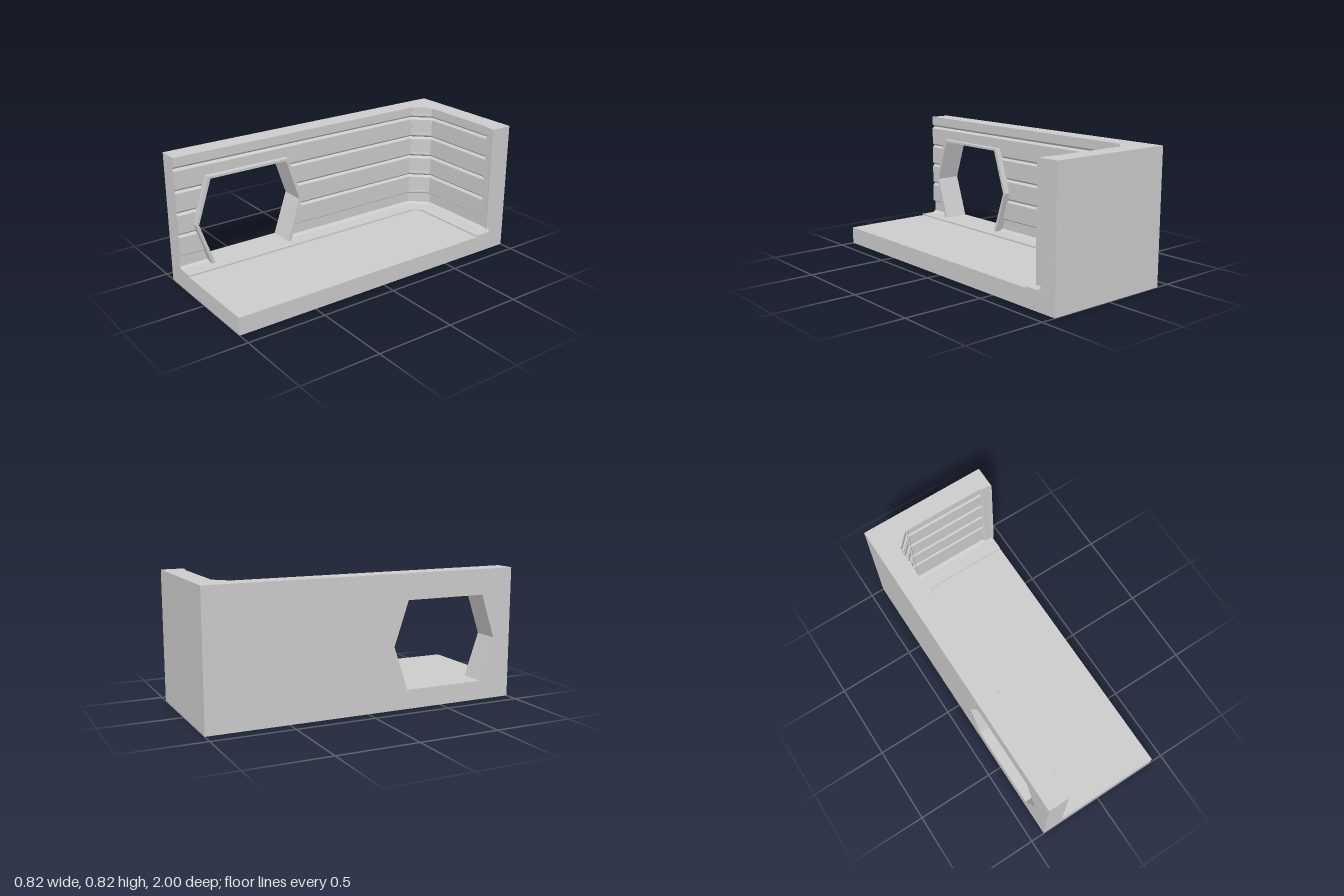
import * as THREE from 'three';

const mat = new THREE.MeshStandardMaterial({ color: 0xcccccc, flatShading: true, side: THREE.DoubleSide });
const W = 0.41, H = 0.825, FLOOR = 0.11;

// Plan of the inner wall face (x, z): side wall, chamfered corner, back wall
const path = [[-0.28, 1], [-0.28, -0.77], [-0.18, -0.873], [W, -0.873]];
const chamferLength = Math.hypot(0.1, 0.103);
const chamferAngle = Math.atan2(0.103, 0.1);
const normals = [[1, 0], [Math.sin(chamferAngle), Math.cos(chamferAngle)], [0, 1]];

// Point on the path at station s, moved d into the room with mitred corners
function plan(s, d) {
  const a = normals[Math.max(s - 1, 0)], b = normals[Math.min(s, 2)];
  const k = d / (1 + a[0] * b[0] + a[1] * b[1]);
  return [path[s][0] + (a[0] + b[0]) * k, path[s][1] + (a[1] + b[1]) * k];
}

// Wall section from top to floor as [offset, y], with V grooves and a cove
const grooves = [0.755, 0.617, 0.478, 0.338], g = 0.0135;
const profile = [[0, H]];
for (const y of grooves) {
  profile.push([0, y + g], [-0.015, y], [0, y - g]);
  if (y === 0.755) profile.push([0, 0.672]);
  if (y === 0.478) profile.push([0, 0.39]);
}
profile.push([0, 0.21], [-0.015, 0.2], [-0.015, 0.135], [0.005, 0.12], [0.1, 0.12], [0.1, FLOOR]);

// Six-sided window in the (z, y) plane
const windowZ = 0.527;
const hexagon = (half, mid, bottom, top) => [
  [windowZ - half, bottom], [windowZ + half, bottom], [windowZ + mid, 0.39],
  [windowZ + half, top], [windowZ - half, top], [windowZ - mid, 0.39],
].map(([z, y]) => new THREE.Vector2(z, y));
const windowHalf = (y) => 0.365 - 0.095 * (y > 0.39 ? (y - 0.39) / 0.282 : (0.39 - y) / 0.275);

const shapeOf = (pts) => new THREE.Shape(pts.map(([x, y]) => new THREE.Vector2(x, y)));

function add(group, name, geometry) {
  const mesh = new THREE.Mesh(geometry, mat);
  mesh.name = name;
  group.add(mesh);
  return mesh;
}

// Grooved wall lining swept along the plan, left open at the window
function liningGeometry() {
  const pos = [];
  const quad = (a, b, c, d) => pos.push(...a, ...b, ...c, ...a, ...c, ...d);
  const at = (s, [d, y]) => { const [x, z] = plan(s, d); return [x, y, z]; };
  for (let i = 0; i < profile.length - 1; i++) {
    const p = profile[i], q = profile[i + 1];
    for (let s = 0; s < 3; s++) {
      const flat = p[0] === 0 && q[0] === 0;
      if (s === 1 && flat) continue; // filled by the corner panels
      const a = at(s, p), b = at(s, q), c = at(s + 1, q), d = at(s + 1, p);
      if (s === 0 && p[1] <= 0.6721 && p[1] > 0.121) {
        const edge = (v, side) => [v[0], v[1], windowZ + side * windowHalf(v[1])];
        quad(a, b, edge(b, 1), edge(a, 1));
        quad(edge(a, -1), edge(b, -1), c, d);
      } else quad(a, b, c, d);
    }
  }
  const geo = new THREE.BufferGeometry();
  geo.setAttribute('position', new THREE.Float32BufferAttribute(pos, 3));
  geo.computeVertexNormals();
  return geo;
}

// Recessed panel with a border, on the chamfer between two heights
function cornerPanel(y0, y1) {
  const panel = new THREE.Group();
  panel.name = 'cornerPanel';
  const L = chamferLength, m = 0.011, depth = 0.012;
  let border;
  if (y1 === H) {
    border = shapeOf([[0, y0], [L, y0], [L, y1], [L - m, y1], [L - m, y0 + m], [m, y0 + m], [m, y1], [0, y1]]);
  } else {
    border = shapeOf([[0, y0], [L, y0], [L, y1], [0, y1]]);
    border.holes.push(shapeOf([[m, y0 + m], [m, y1 - m], [L - m, y1 - m], [L - m, y0 + m]]));
  }
  add(panel, 'panelBorder', new THREE.ExtrudeGeometry(border, { depth, bevelEnabled: false })).position.z = -depth;
  add(panel, 'panelBack', new THREE.PlaneGeometry(L - 2 * m, y1 - y0))
    .position.set(L / 2, (y0 + y1) / 2, -depth);
  panel.position.set(path[1][0], 0, path[1][1]);
  panel.rotation.y = chamferAngle;
  return panel;
}

export function createModel() {
  const model = new THREE.Group();
  model.name = 'roomCorner';

  add(model, 'wallLining', liningGeometry());

  // Corner panels between the grooves
  const tops = [H, ...grooves.map((y) => y - g)];
  const bottoms = [...grooves.map((y) => y + g), 0.21];
  tops.forEach((top, i) => model.add(cornerPanel(bottoms[i], top)));

  // Floor inside the raised border
  const floor = [0, 1, 2, 3].map((s) => plan(s, 0.1)).map(([x, z]) => [x, -z]);
  add(model, 'floor', new THREE.ShapeGeometry(shapeOf([...floor, [W, -1]])).rotateX(-Math.PI / 2))
    .position.y = FLOOR;

  // Top of the walls, notched at the open upper panel
  const along = (t, d) => [
    path[1][0] + Math.cos(chamferAngle) * t + normals[1][0] * d,
    path[1][1] - Math.sin(chamferAngle) * t + normals[1][1] * d,
  ];
  const m = 0.011, n = chamferLength - m;
  const rim = [[-W, 1], [-W, -1], [W, -1], path[3], path[2],
    along(n, 0), along(n, -0.012), along(m, -0.012), along(m, 0), path[1], path[0]];
  add(model, 'wallTop', new THREE.ShapeGeometry(shapeOf(rim.map(([x, z]) => [x, -z]))).rotateX(-Math.PI / 2))
    .position.y = H;

  // Cut ends showing the wall and floor section
  const frontEnd = [[-W, 0], [W, 0], [W, FLOOR],
    ...[...profile].reverse().map(([d, y]) => [path[0][0] + d, y]), [-W, H]];
  add(model, 'frontEnd', new THREE.ShapeGeometry(shapeOf(frontEnd))).position.z = 1;
  const sideEnd = [[-1, 0], [1, 0], [1, H],
    ...profile.map(([d, y]) => [-(path[3][1] + d), y]), [-1, FLOOR]];
  add(model, 'sideEnd', new THREE.ShapeGeometry(shapeOf(sideEnd)).rotateY(Math.PI / 2)).position.x = W;

  // Outer faces
  const side = shapeOf([[-1, 0], [1, 0], [1, H], [-1, H]]);
  side.holes.push(new THREE.Path(hexagon(0.262, 0.355, 0.119, 0.665)));
  add(model, 'outerSideWall', new THREE.ShapeGeometry(side).rotateY(-Math.PI / 2)).position.x = -W;
  add(model, 'outerBackWall', new THREE.PlaneGeometry(2 * W, H).rotateY(Math.PI)).position.set(0, H / 2, -1);
  add(model, 'underside', new THREE.PlaneGeometry(2 * W, 2).rotateX(Math.PI / 2));

  // Window frame running through the wall and standing proud inside
  const frame = new THREE.Shape(hexagon(0.28, 0.374, 0.105, 0.68));
  frame.holes.push(new THREE.Path(hexagon(0.262, 0.355, 0.119, 0.665)));
  const frameGeo = new THREE.ExtrudeGeometry(frame, { depth: 0.166, bevelEnabled: false });
  add(model, 'windowFrame', frameGeo.rotateY(-Math.PI / 2)).position.x = -0.243;

  // Shallow pillar at the free end of the back wall
  const pillar = shapeOf([[0.34, 0.89], [W, 0.89], [W, 0.853], [0.4, 0.855], [0.395, 0.862], [0.347, 0.864], [0.34, 0.873]]);
  const pillarGeo = new THREE.ExtrudeGeometry(pillar, { depth: H - 0.147, bevelEnabled: false });
  add(model, 'endPillar', pillarGeo.rotateX(-Math.PI / 2)).position.y = 0.147;

  return model;
}
